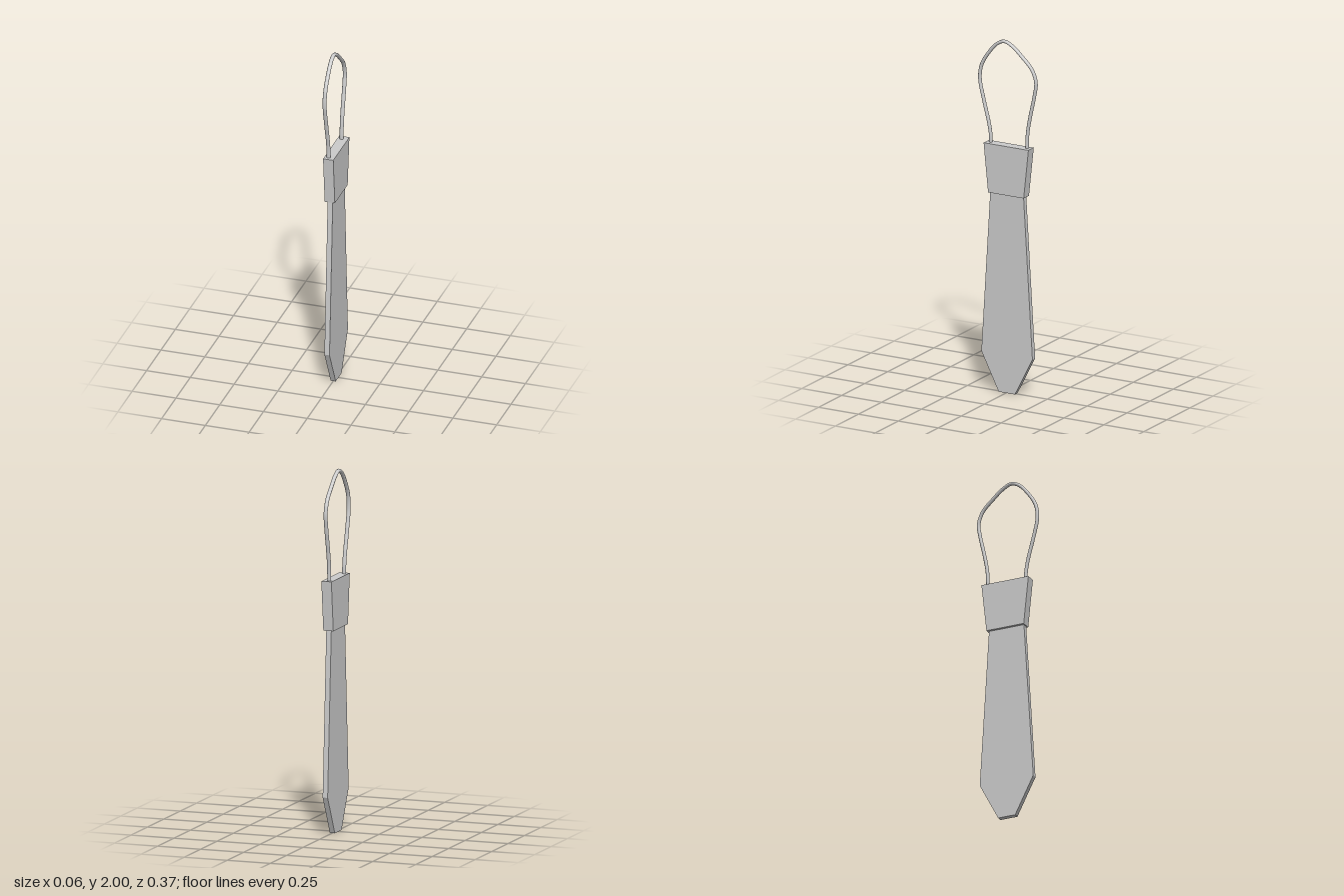
import * as THREE from 'three';

const grey = new THREE.MeshStandardMaterial({ color: 0xcccccc });

// Slab lying in the z-y plane: outline given as [z, y], thickness along x
function slab(name, outline, xMin, xMax) {
  const shape = new THREE.Shape(outline.map(([z, y]) => new THREE.Vector2(-z, y)));
  const geometry = new THREE.ExtrudeGeometry(shape, { depth: xMax - xMin, bevelEnabled: false });
  geometry.rotateY(Math.PI / 2).translate(xMin, 0, 0);
  const mesh = new THREE.Mesh(geometry, grey);
  mesh.name = name;
  return mesh;
}

export function createModel() {
  const tie = new THREE.Group();
  tie.name = 'necktie';

  // Long blade with a blunt tip, running up into the knot
  tie.add(slab('blade', [
    [0.047, 0], [0.155, 0.215], [0.1, 1.12], [0.096, 1.2],
    [-0.106, 1.2], [-0.11, 1.12], [-0.165, 0.215], [-0.055, 0],
  ], -0.015, 0.014));

  // Thicker tapered knot
  tie.add(slab('knot', [
    [0.105, 1.128], [0.133, 1.406], [-0.148, 1.406], [-0.118, 1.128],
  ], -0.03, 0.028));

  // Neck loop: slightly flattened cord rising from the knot
  const path = [
    [0.108, 1.36], [0.108, 1.44], [0.12, 1.515], [0.152, 1.64], [0.176, 1.755],
    [0.166, 1.835], [0.115, 1.92], [0.065, 1.973], [0.02, 1.99], [-0.03, 1.968],
    [-0.09, 1.917], [-0.15, 1.855], [-0.175, 1.785], [-0.166, 1.71],
    [-0.14, 1.59], [-0.124, 1.5], [-0.12, 1.44], [-0.12, 1.36],
  ].map(([z, y]) => new THREE.Vector3(0, y, z));
  const cord = new THREE.TubeGeometry(new THREE.CatmullRomCurve3(path), 96, 0.0095, 10);
  cord.scale(1.2, 1, 1);
  const loop = new THREE.Mesh(cord, grey);
  loop.name = 'neckLoop';
  loop.position.x = -0.007;
  tie.add(loop);

  return tie;
}
